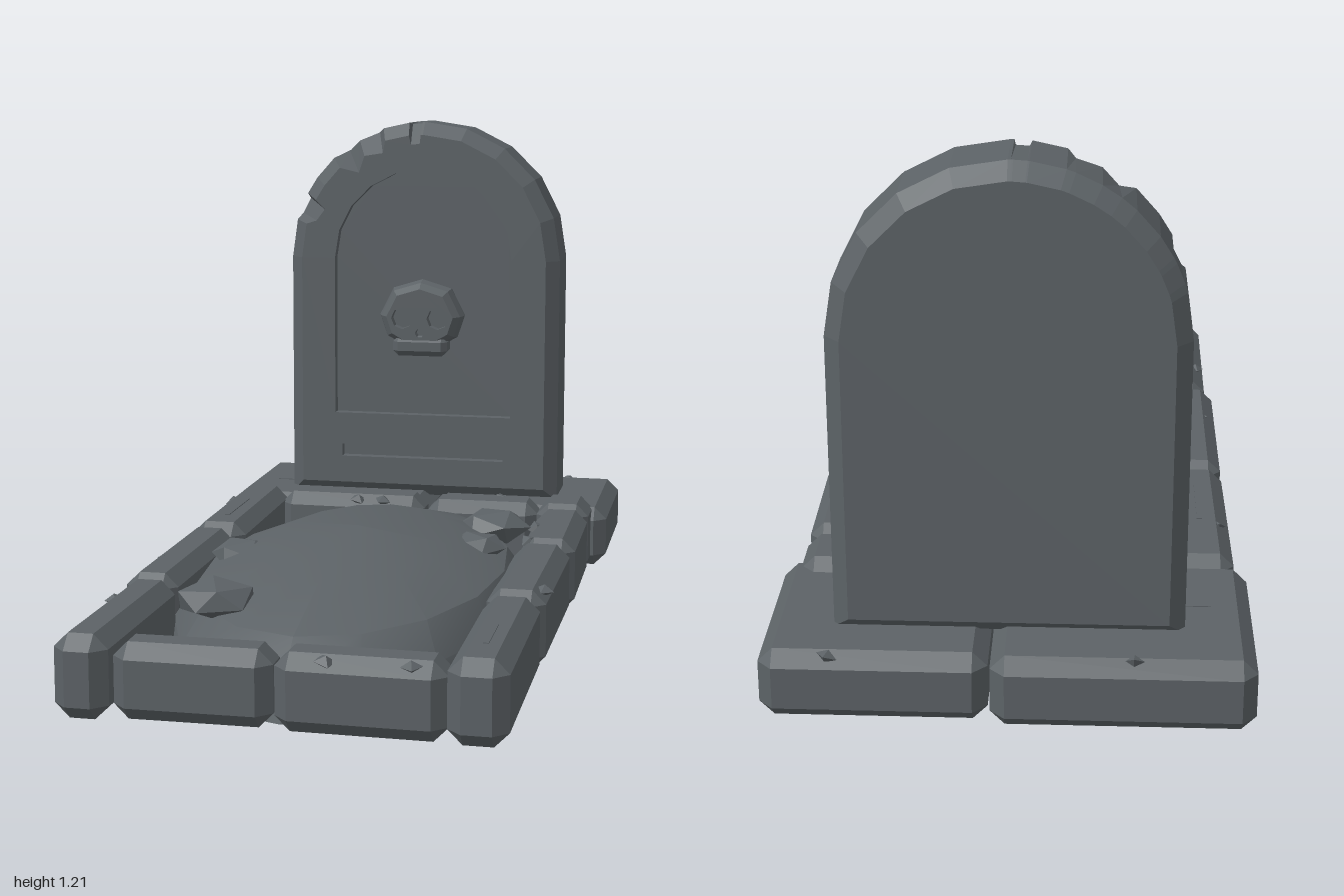
import * as THREE from 'three';
import { ConvexGeometry } from 'three/addons/geometries/ConvexGeometry.js';
import { mergeGeometries, toCreasedNormals } from 'three/addons/utils/BufferGeometryUtils.js';

const stone = new THREE.MeshStandardMaterial({ color: 0x5c6266 });
stone.name = 'darkStone';

function add(parent, name, geometry, position = [0, 0, 0]) {
  const mesh = new THREE.Mesh(geometry, stone);
  mesh.name = name;
  mesh.position.set(...position);
  parent.add(mesh);
  return mesh;
}

// Strips of quads joining closed rings of [x, y, z]
function strips(rings) {
  const pos = [];
  for (let r = 0; r + 1 < rings.length; r++) {
    const p = rings[r], q = rings[r + 1], n = p.length;
    for (let i = 0; i < n; i++) {
      const j = (i + 1) % n;
      pos.push(...p[i], ...p[j], ...q[j], ...p[i], ...q[j], ...q[i]);
    }
  }
  const g = new THREE.BufferGeometry();
  g.setAttribute('position', new THREE.Float32BufferAttribute(pos, 3));
  g.computeVertexNormals();
  return g;
}

const atZ = (pts, z) => pts.map(([x, y]) => [x, y, z]);
const vec = (pts) => pts.map(([x, y]) => new THREE.Vector2(x, y));

function cap(pts, z, holes = []) {
  const shape = new THREE.Shape(vec(pts));
  shape.holes = holes.map((h) => new THREE.Path(vec(h)));
  const g = new THREE.ShapeGeometry(shape).toNonIndexed();
  g.deleteAttribute('uv');
  return g.translate(0, 0, z);
}

// Solid lofted from back to front, with sunken pockets in its front face
function carved(rings, holes, depth) {
  const back = rings[0], front = rings[rings.length - 1], z = front[0][2];
  const parts = [strips(rings), cap(front, z, holes)];
  parts.push(cap(back.map(([x, y]) => [-x, y]), 0).rotateY(Math.PI).translate(0, 0, back[0][2]));
  for (const h of holes) {
    parts.push(strips([atZ(h, z), atZ(h, z - depth)]), cap(h, z - depth));
  }
  return mergeGeometries(parts);
}

// Block with chamfered edges and corners
function block(w, h, d, c = 0.032) {
  const pts = [];
  for (const x of [-1, 1]) for (const y of [-1, 1]) for (const z of [-1, 1]) {
    const a = w / 2, b = h / 2, e = d / 2;
    pts.push(new THREE.Vector3(x * a, y * (b - c), z * (e - c)),
      new THREE.Vector3(x * (a - c), y * b, z * (e - c)),
      new THREE.Vector3(x * (a - c), y * (b - c), z * e));
  }
  return new ConvexGeometry(pts);
}

function polygon(cx, cy, r, n) {
  return Array.from({ length: n }, (_, i) => {
    const a = (i / n) * Math.PI * 2;
    return [cx + r * Math.cos(a), cy + r * Math.sin(a)];
  });
}

const rad = THREE.MathUtils.degToRad;

function headstone(parent) {
  // Arch angle and chip depth of the front edge
  const arch = [[0, 0], [18, 0], [36, 0], [54, 0], [72, 0], [90, 0], [91, 0], [91.6, 0.025], [96, 0.025],
    [96.6, 0], [108, 0], [111, 0.03], [120, 0.015], [127, 0.045], [133, 0], [144, 0], [152, 0],
    [154, 0.035], [161, 0.025], [164, 0], [180, 0]];
  const ring = (inset, z, chipIn, chipBack) => {
    const pts = arch.map(([a, d]) => {
      const r = 0.38 - inset - d * chipIn;
      return [r * Math.cos(rad(a)), 0.825 + r * Math.sin(rad(a)), z - d * chipBack];
    });
    const x = 0.38 - inset, y = 0.15 + inset;
    return [[x, y, z], ...pts, [-x, y, z]];
  };
  const panel = [[0.25, 0.385]];
  for (let a = 0; a <= 180; a += 18) panel.push([0.25 * Math.cos(rad(a)), 0.825 + 0.25 * Math.sin(rad(a))]);
  panel.push([-0.25, 0.385]);
  const slot = [[0.23, 0.26], [0.23, 0.295], [-0.23, 0.295], [-0.23, 0.26]];
  const rings = [ring(0.035, -0.865, 0, 0), ring(0, -0.83, 0, 0), ring(0, -0.675, 0.2, 1), ring(0.035, -0.64, 1, 0)];
  add(parent, 'headstone', carved(rings, [panel, slot], 0.03));
}

function skull(parent) {
  const g = new THREE.Group();
  g.name = 'skullCarving';
  parent.add(g);
  const half = [[0.055, 0.585], [0.1, 0.61], [0.12, 0.67], [0.082, 0.745]];
  const outline = [...half, [0, 0.77], ...half.map(([x, y]) => [-x, y]).reverse()];
  const ring = (s, z) => outline.map(([x, y]) => [x * s, 0.662 + (y - 0.662) * s, z]);
  const holes = [polygon(0.05, 0.664, 0.03, 8), polygon(-0.05, 0.664, 0.03, 8), polygon(0, 0.623, 0.013, 6)];
  add(g, 'skull', carved([ring(0.95, -0.68), ring(1, -0.645), ring(0.93, -0.615), ring(0.78, -0.597)], holes, 0.03));
  add(g, 'jaw', block(0.152, 0.055, 0.08, 0.015), [0, 0.586, -0.632]);
}

// Low dome of earth from elliptical rings
function mound(parent) {
  const ring = (s, y) => polygon(0, 0, s, 16).map(([x, z]) => [x * 0.42, y, 0.2 - z * 0.75]);
  const rings = [ring(0.001, 0.01), ring(1, 0.01), ring(0.97, 0.09), ring(0.85, 0.165), ring(0.53, 0.225), ring(0.001, 0.26)];
  add(parent, 'mound', toCreasedNormals(strips(rings), 0.5));
}

export function createModel() {
  const model = new THREE.Group();
  model.name = 'grave';

  // Stones as x0, x1, z0, z1, height, turn in degrees
  const stones = {
    baseSlab: [[-0.53, 0.035, -1, -0.53, 0.165, 0], [0.04, 0.53, -0.98, -0.53, 0.16, 0]],
    leftKerb: [[0.35, 0.49, -0.61, -0.435, 0.187, 0], [0.36, 0.495, -0.435, -0.04, 0.185, 0.6],
      [0.352, 0.488, -0.04, 0.465, 0.185, -0.5], [0.352, 0.48, 0.465, 1, 0.185, 0]],
    rightKerb: [[-0.5, -0.36, -0.56, -0.04, 0.187, 0.6], [-0.498, -0.372, -0.04, 0.49, 0.185, 0],
      [-0.482, -0.362, 0.49, 1, 0.185, -0.4]],
    headKerb: [[-0.37, 0.035, -0.59, -0.47, 0.182, -0.5], [0.045, 0.35, -0.59, -0.46, 0.18, 0.5]],
    footKerb: [[-0.36, -0.015, 0.86, 0.98, 0.168, 0.5], [-0.01, 0.355, 0.868, 0.99, 0.17, -0.6]],
  };
  for (const [name, list] of Object.entries(stones)) {
    for (const [x0, x1, z0, z1, h, turn] of list) {
      const m = add(model, name, block(x1 - x0, h, z1 - z0), [(x0 + x1) / 2, h / 2, (z0 + z1) / 2]);
      m.rotation.y = rad(turn);
    }
  }

  headstone(model);
  skull(model);
  mound(model);

  // Loose rocks: x, y, z, radius
  for (const [x, y, z, r] of [[0.28, 0.19, -0.16, 0.095], [0.27, 0.19, 0.065, 0.073],
    [-0.28, 0.185, 0.23, 0.078], [-0.22, 0.19, 0.66, 0.097]]) {
    const rock = add(model, 'rock', new THREE.IcosahedronGeometry(r, 0), [x, y, z]);
    rock.geometry.rotateY(x * 9).rotateX(z * 2);
    rock.scale.y = 0.48;
  }

  // Flaked corners on stone edges
  for (const [x, y, z] of [[-0.27, 0.158, -0.97], [0.38, 0.15, -0.96], [-0.47, 0.173, -0.36], [-0.46, 0.172, 0.3],
    [-0.46, 0.17, 0.65], [0.38, 0.172, -0.23], [0.38, 0.172, -0.08], [0.475, 0.172, 0.38], [0.1, 0.158, 0.972],
    [0.28, 0.158, 0.972], [-0.15, 0.17, -0.485], [-0.08, 0.17, -0.485], [0.23, 0.17, -0.575]]) {
    const chip = add(model, 'edgeFlake', new THREE.OctahedronGeometry(0.024, 0), [x, y, z]);
    chip.rotation.set(0.4, x * 7 + z * 3, 0.3);
    chip.scale.y = 0.6;
  }

  // Hairline cracks on top of stones
  for (const [x, y, z, w, d] of [[-0.43, 0.186, -0.25, 0.012, 0.2], [0.415, 0.184, 0.8, 0.012, 0.14], [-0.41, 0.164, -0.735, 0.06, 0.012]]) {
    add(model, 'crack', new THREE.BoxGeometry(w, 0.006, d), [x, y, z]);
  }
  return model;
}
